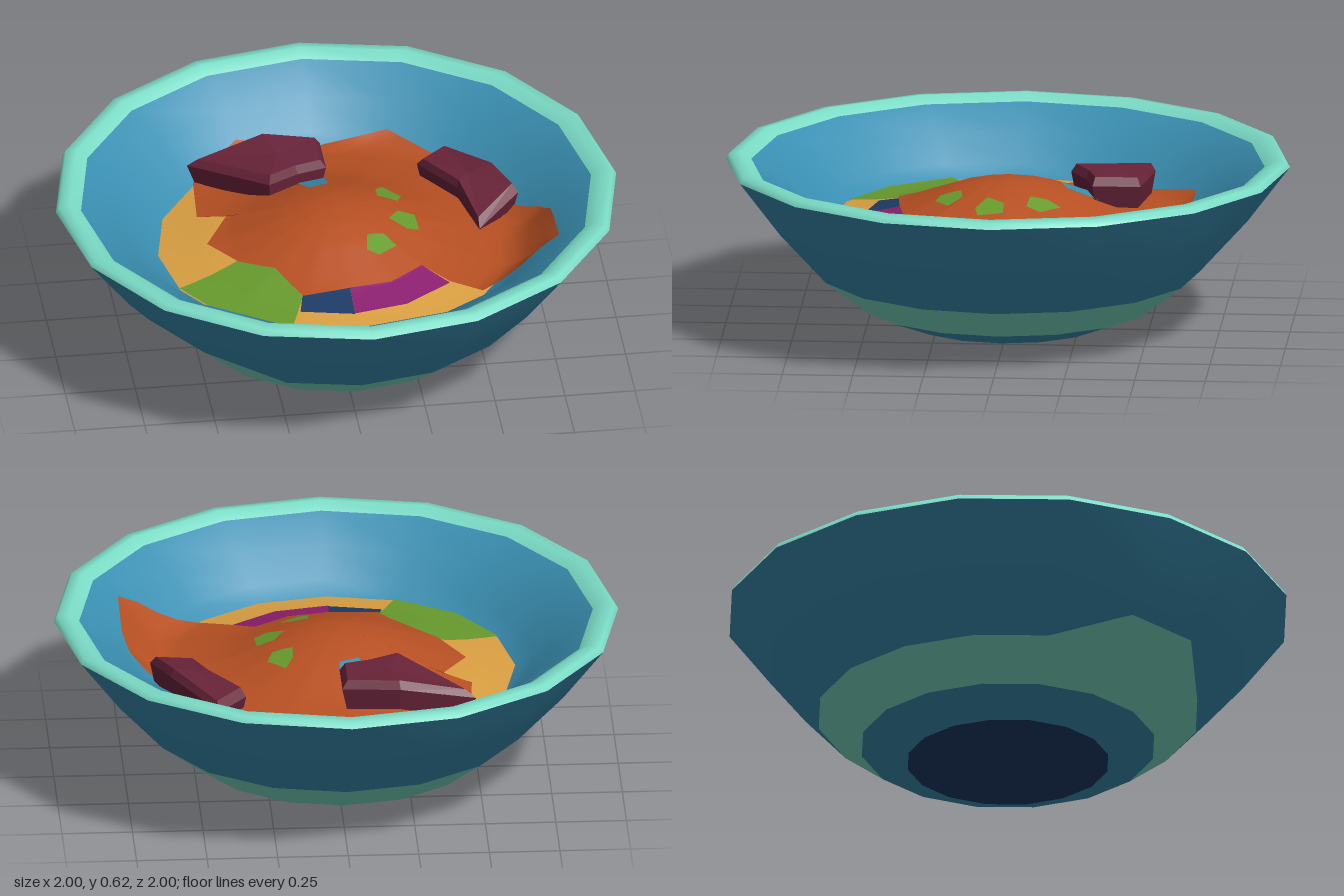
import * as THREE from 'three';

const SIDES = 16;
const mat = (name, color) => {
  const m = new THREE.MeshStandardMaterial({ color });
  m.name = name;
  return m;
};

// Inner surface profile [radius, height]: mound of food, then bowl wall
const INNER = [[0, 0.53], [0.1, 0.522], [0.2, 0.497], [0.3, 0.46], [0.39, 0.427], [0.5, 0.405],
  [0.635, 0.39], [0.7, 0.43], [0.78, 0.52], [0.91, 0.6]];

// Height of the faceted inner surface at a point
function height(x, z) {
  const step = (Math.PI * 2) / SIDES;
  const a = Math.atan2(x, z);
  const off = a - (Math.floor(a / step) + 0.5) * step;
  const r = (Math.hypot(x, z) * Math.cos(off)) / Math.cos(step / 2);
  for (let i = 1; i < INNER.length; i++) {
    const [r0, y0] = INNER[i - 1], [r1, y1] = INNER[i];
    if (r <= r1) return y0 + ((y1 - y0) * (r - r0)) / (r1 - r0);
  }
  return 0.6;
}

// Orders an outline so that its fan faces up
function faceUp(pts) {
  let area = 0;
  pts.forEach((p, i) => {
    const q = pts[(i + 1) % pts.length];
    area += p[0] * q[1] - q[0] * p[1];
  });
  return area > 0 ? [...pts].reverse() : pts;
}

const middle = (pts) => [0, 1].map((k) => pts.reduce((s, p) => s + p[k], 0) / pts.length);

// Rings of equal length joined into a skin, closed by a centre point
function skin(rings, centre) {
  const n = rings[0].length, pos = [...rings.flat(2), ...centre], idx = [];
  const c = rings.length * n;
  rings.forEach((ring, k) => {
    for (let i = 0; i < n; i++) {
      const j = (i + 1) % n, a = k * n + i, b = k * n + j;
      if (k === rings.length - 1) idx.push(c, a, b);
      else idx.push(a, b, b + n, a, b + n, a + n);
    }
  });
  const g = new THREE.BufferGeometry();
  g.setAttribute('position', new THREE.Float32BufferAttribute(pos, 3));
  g.setIndex(idx);
  g.computeVertexNormals();
  return g;
}

// Thin patch of food draped over the inner surface
function patch(outline, lift, centre = middle(outline), layers = 8, cuts = 4) {
  const pts = faceUp(outline), edge = [];
  pts.forEach((p, i) => {
    const q = pts[(i + 1) % pts.length];
    for (let k = 0; k < cuts; k++) edge.push([0, 1].map((d) => p[d] + ((q[d] - p[d]) * k) / cuts));
  });
  const rings = [];
  for (let k = 0; k < layers; k++) {
    const t = 1 - k / layers;
    rings.push(edge.map((p) => {
      const x = centre[0] + (p[0] - centre[0]) * t, z = centre[1] + (p[1] - centre[1]) * t;
      return [x, height(x, z) + lift, z];
    }));
  }
  return skin(rings, [centre[0], height(...centre) + lift, centre[1]]);
}

// Faceted chunk: outline of [x, z, top height], bevelled towards the top
function chunk(outline, depth) {
  const pts = faceUp(outline), c = middle(pts);
  const ring = (scale, drop) => pts.map(([x, z, y]) =>
    [c[0] + (x - c[0]) * scale, y - drop, c[1] + (z - c[1]) * scale]);
  const top = pts.reduce((s, p) => s + p[2], 0) / pts.length;
  const g = skin([ring(0.9, depth), ring(1, 0.03), ring(0.88, 0)], [c[0], top + 0.008, c[1]]).toNonIndexed();
  g.computeVertexNormals();
  return g;
}

const lathe = (pts) => new THREE.LatheGeometry(pts.map(([r, y]) => new THREE.Vector2(r, y)), SIDES);

// Pulls one profile point of the two front corner columns up the wall
function raiseCorner(g, perColumn, j) {
  const p = g.attributes.position;
  for (const i of [13, 14]) {
    const a = (i / SIDES) * Math.PI * 2;
    p.setXYZ(i * perColumn + j, 0.768 * Math.sin(a), 0.312, 0.768 * Math.cos(a));
  }
  return g;
}

export function createModel() {
  const group = new THREE.Group();
  const blue = mat('bowl blue', 0x3a8fb2);
  const teal = mat('rim teal', 0x7bdcc6);
  const navy = mat('navy', 0x1d3b68);
  const orange = mat('orange', 0xb85023);
  const yellow = mat('yellow', 0xdba042);
  const green = mat('green', 0x689c2e);
  const magenta = mat('magenta', 0x8c1f70);
  const maroon = mat('maroon', 0x69243a);
  const add = (name, geometry, material) => {
    const m = new THREE.Mesh(geometry, material);
    m.name = name;
    group.add(m);
  };

  // Bowl, from the underside up, over the rim and down the inside
  add('base', lathe([[0, 0], [0.36, 0.03]]), navy);
  add('lowerBand', lathe([[0.36, 0.03], [0.525, 0.095]]), blue);
  add('tealBand', raiseCorner(lathe([[0.525, 0.095], [0.68, 0.215]]), 2, 1), teal);
  add('outerWall', raiseCorner(lathe([[0.68, 0.215], [0.85, 0.402], [1, 0.6]]), 3, 0), blue);
  add('rim', lathe([[1, 0.6], [0.988, 0.62], [0.95, 0.625], [0.91, 0.6]]), teal);
  add('innerWall', lathe(INNER.slice(6).reverse()), blue);
  add('yellowBed', lathe([[0.635, 0.39], [0.5, 0.405], [0.37, 0.43], [0, 0.43]]), yellow);

  // Flat pieces of food
  add('greenLeaf', patch([[-0.59, 0.24], [-0.35, 0.13], [-0.23, 0.22], [-0.17, 0.39], [-0.24, 0.585], [-0.45, 0.45]], 0.006), green);
  add('navyPiece', patch([[-0.17, 0.38], [0, 0.37], [0, 0.51], [-0.19, 0.47]], 0.004), navy);
  add('magentaPiece', patch([[0, 0.37], [0.15, 0.345], [0.27, 0.26], [0.36, 0.35], [0.19, 0.47], [0, 0.51]], 0.006), magenta);
  add('orangeMound', patch([[-0.27, -0.65], [0, -0.635], [0.27, -0.65], [0.44, -0.48], [0.58, -0.28], [0.65, -0.12],
    [0.73, -0.01], [0.755, 0.08], [0.755, 0.31], [0.47, 0.405], [0.36, 0.35], [0.27, 0.27], [0.15, 0.36],
    [0, 0.385], [-0.17, 0.4], [-0.25, 0.24], [-0.37, 0.15], [-0.46, 0], [-0.37, -0.16], [-0.47, -0.2],
    [-0.45, -0.45]], 0.012, [0, 0], 16), orange);

  // Small garnish on the mound
  const spots = [
    [[0.19, -0.2], [0.25, -0.13], [0.23, -0.08], [0.16, -0.09], [0.16, -0.15]],
    [[0.22, 0], [0.28, 0], [0.285, 0.09], [0.24, 0.1], [0.18, 0.06]],
    [[0.09, 0.16], [0.15, 0.15], [0.19, 0.2], [0.12, 0.25], [0.08, 0.23]],
  ];
  spots.forEach((s, i) => add('greenGarnish' + (i + 1), patch(s, 0.018), green));
  add('bluePiece', patch([[-0.11, -0.3], [0, -0.32], [0, -0.21], [-0.07, -0.185]], 0.018), blue);

  // Raised chunks
  add('backChunk', chunk([[-0.47, -0.46, 0.5], [-0.2, -0.51, 0.56], [0.005, -0.47, 0.55], [0.005, -0.3, 0.55],
    [-0.1, -0.27, 0.55], [-0.21, -0.21, 0.55]], 0.11), maroon);
  add('sideChunk', chunk([[0.44, -0.485, 0.48], [0.34, -0.38, 0.49], [0.46, -0.2, 0.49], [0.51, -0.02 + 0.04, 0.45],
    [0.665, -0.11, 0.51], [0.6, -0.26, 0.52]], 0.11), maroon);
  return group;
}
